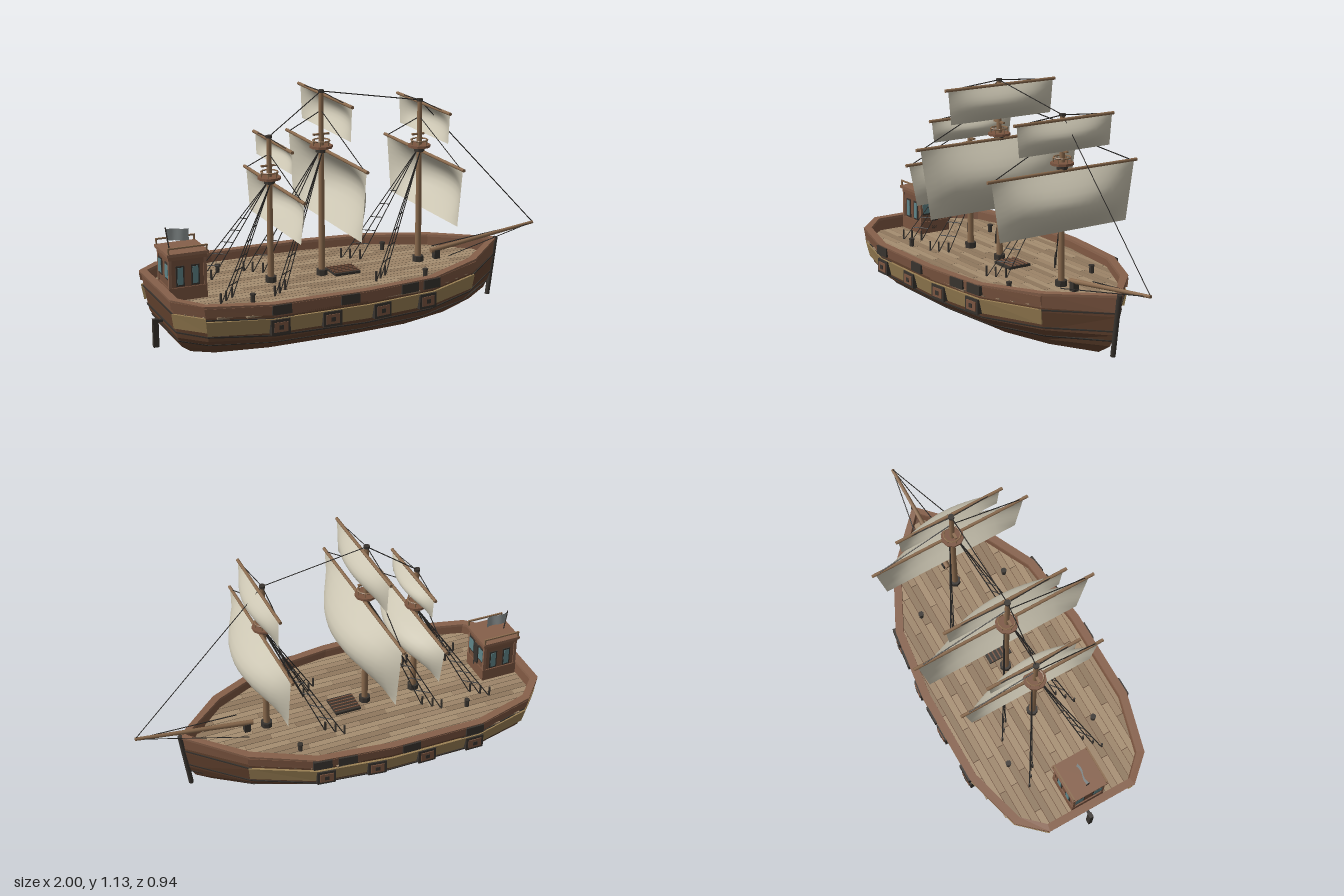
import * as THREE from 'three';

const C = { hull: 0x64432f, trim: 0x7b5540, rail: 0x86604a, tan: 0x9a8054, dark: 0x38332e, plank: [0x9c8468, 0x8f785e, 0xa58d70],
  wood: 0x8a6a4d, sail: 0xc9c3b0, rope: 0x2c2a28, glass: 0x5f8488, cabin: 0x74503c };
const mats = {};
const mat = (c, double = false, flat = true) => mats[`${c}${double}${flat}`] ??= new THREE.MeshStandardMaterial({
  color: c, flatShading: flat, side: double ? THREE.DoubleSide : THREE.FrontSide });
const V = (x, y, z) => new THREE.Vector3(x, y, z);

function add(parent, name, geo, color, pos = [0, 0, 0], double = false, flat = true) {
  const m = new THREE.Mesh(geo, mat(color, double, flat));
  m.name = name;
  m.position.set(...pos);
  parent.add(m);
  return m;
}
const box = (p, name, size, pos, color) => add(p, name, new THREE.BoxGeometry(...size), color, pos);
const disc = (p, name, r, h, pos, color, sides = 10) => add(p, name, new THREE.CylinderGeometry(r, r, h, sides), color, pos);

// Round bar between two points
function rod(p, name, a, b, r, color, r2 = r, sides = 8) {
  const d = b.clone().sub(a);
  const m = add(p, name, new THREE.CylinderGeometry(r2, r, d.length(), sides), color, [0, 0, 0], false, false);
  m.position.copy(a).addScaledVector(d, 0.5);
  m.quaternion.setFromUnitVectors(V(0, 1, 0), d.normalize());
  return m;
}
const rope = (p, name, a, b) => rod(p, name, a, b, 0.0025, C.rope, 0.0025, 4);

// Skin over closed cross-sections, capped at both ends
function loft(sections) {
  const n = sections[0].length, last = (sections.length - 1) * n, idx = [];
  for (let i = 0; i < sections.length - 1; i++)
    for (let j = 0; j < n; j++) {
      const a = i * n + j, b = i * n + (j + 1) % n;
      idx.push(a, b, b + n, a, b + n, a + n);
    }
  for (let j = 1; j < n - 1; j++) idx.push(0, j + 1, j, last, last + j, last + j + 1);
  const g = new THREE.BufferGeometry().setFromPoints(sections.flat());
  g.setIndex(idx);
  g.computeVertexNormals();
  return g;
}

// Deck outline [x, half width, sheer height], bow to stern, then mirrored round
const half = [[0.53, 0.24, 0.287], [0.24, 0.385, 0.28], [-0.12, 0.43, 0.28], [-0.58, 0.43, 0.28], [-0.87, 0.35, 0.285], [-0.98, 0.23, 0.295]];
const outline = [[0.78, 0, 0.3], ...half.map(([x, z, y]) => [x, -z, y]), ...[...half].reverse()];
const N = outline.length;
// Hull levels: height, stern x, bow x, width factor
const levels = [[0, -0.86, 0.64, 0.51], [0.05, -0.92, 0.72, 0.73], [0.11, -0.95, 0.755, 0.91], [0.2, -0.965, 0.772, 0.97], [0.3, -0.98, 0.78, 1]];
const DECK = 0.23;

function raw(k, y) {
  const [x, z] = outline[(k + N) % N];
  let i = 0;
  while (i < levels.length - 2 && y > levels[i + 1][0]) i++;
  const [A, B] = [levels[i], levels[i + 1]], t = (y - A[0]) / (B[0] - A[0]);
  const [x0, x1, s] = [1, 2, 3].map(q => A[q] + (B[q] - A[q]) * t);
  return V(x0 + (x + 0.98) / 1.76 * (x1 - x0), y, z * s);
}
// Point on the hull, pushed outward by off
function hullPoint(k, y, off = 0) {
  const d = raw(k + 1, y).sub(raw(k - 1, y)).normalize();
  return raw(k, y).add(V(-d.z, 0, d.x).multiplyScalar(off));
}
// Strip along the hull, from outline corner k0 to k1
function strip(p, name, k0, k1, lo, hi, out, inn, color) {
  const secs = [];
  for (let k = k0; k <= k1; k++) {
    const i = k % N, a = lo(i), b = hi(i);
    secs.push([hullPoint(i, b, out), hullPoint(i, a, out), hullPoint(i, a, inn), hullPoint(i, b, inn)]);
  }
  return add(p, name, loft(secs), color);
}
const sheer = i => outline[i][2];

function buildHull(g) {
  const ys = [0, 0.05, 0.11, 0.2, DECK];
  add(g, 'hull', loft(ys.map(y => outline.map((_, k) => hullPoint(k, y)))), C.hull);
  strip(g, 'bulwark', 0, N, () => DECK - 0.01, sheer, 0, -0.025, C.trim);
  strip(g, 'capRail', 0, N, i => sheer(i) - 0.008, i => sheer(i) + 0.004, 0.008, -0.03, C.rail);
  // Thin dark wales rising towards both ends
  for (const y of [0.075, 0.125, 0.212]) {
    const f = i => y + 0.02 * (outline[i][0] / 0.95) ** 2 - 0.012;
    strip(g, 'wale', 0, N, f, i => f(i) + 0.007, 0.005, -0.01, C.dark);
  }
  // Painted side panels, stepped up at the stern quarter
  for (const [k0, k1, up] of [[7, 8, 0.018], [8, 12, 0], [5, 6, 0.018], [1, 5, 0]]) {
    strip(g, 'sidePanel', k0, k1, () => 0.142 + up, () => 0.213 + up, 0.012, -0.02, C.tan);
    strip(g, 'upperStrake', k0, k1, () => 0.233 + up, () => 0.277 + up * 0.6, 0.01, -0.01, C.trim);
  }
  // Gun ports follow the curve of the side
  const onSide = (x, y, s, build) => {
    let k = 7;
    while (k < 11 && hullPoint(k + 1, y).x < x) k++;
    const a = hullPoint(k, y), b = hullPoint(k + 1, y);
    const h = new THREE.Group();
    h.name = 'gunPort';
    h.position.set(x, y, s * (a.z + (b.z - a.z) * (x - a.x) / (b.x - a.x)));
    h.rotation.y = -s * Math.atan2(b.z - a.z, b.x - a.x) + (s < 0 ? Math.PI : 0);
    build(h);
    g.add(h);
  };
  for (const s of [1, -1]) {
    for (const x of [-0.545, -0.295, -0.045, 0.2]) onSide(x, 0.175, s, h => {
      box(h, 'portFrame', [0.09, 0.07, 0.04], [0, 0, 0.006], C.dark);
      box(h, 'portLid', [0.065, 0.045, 0.04], [0, 0, 0.01], C.trim);
      box(h, 'portHole', [0.022, 0.02, 0.04], [0, 0, 0.013], C.dark);
    });
    for (const x of [-0.54, -0.21, 0.1, 0.22]) onSide(x, 0.257, s, h =>
      box(h, 'upperPort', [0.09, 0.044, 0.03], [0, 0, 0.004], C.dark));
  }
  rod(g, 'stem', V(0.742, 0.01, 0), V(0.782, 0.305, 0), 0.012, C.dark);
  box(g, 'rudder', [0.026, 0.135, 0.02], [-0.987, 0.068, 0], C.dark);
  box(g, 'rudderArm', [0.05, 0.012, 0.014], [-0.967, 0.125, 0], C.dark);
}

function buildDeck(g) {
  // Staggered planks trimmed to the outline
  const rows = 24, w = 0.82 / rows;
  for (let r = 0; r < rows; r++) {
    const z = -0.41 + (r + 0.5) * w, az = Math.abs(z);
    const side = [[0.76, 0], ...half];
    const cut = (a, b) => a[0] + (b[0] - a[0]) * (az - a[1]) / (b[1] - a[1]);
    let x1 = 0.76, x0 = -0.96;
    for (let i = 0; i < 3; i++) if (az >= side[i][1] && az < side[i + 1][1]) x1 = cut(side[i], side[i + 1]) - 0.02;
    for (let i = 4; i < 6; i++) if (az < side[i][1] && az >= side[i + 1][1]) x0 = cut(side[i], side[i + 1]) + 0.02;
    for (let x = x0, n = 0; x < x1 - 0.001; n++) {
      const end = Math.min(x1, x + (n ? 0.36 : 0.1 + 0.07 * ((r * 3) % 5)));
      box(g, 'deckPlank', [end - x - 0.003, 0.008, w - 0.003], [(x + end) / 2, DECK + 0.002, z], C.plank[(r * 2 + n * 5 + (r >> 2)) % 3]);
      x = end;
    }
  }
  // Grated hatch and bollards
  box(g, 'hatch', [0.13, 0.016, 0.12], [-0.05, DECK + 0.01, 0], C.dark);
  for (let i = -2; i <= 2; i++) box(g, 'hatchBar', [0.13, 0.006, 0.006], [-0.05, DECK + 0.02, i * 0.022], C.trim);
  for (const x of [-0.6, 0.27]) for (const s of [1, -1]) {
    disc(g, 'bollard', 0.011, 0.04, [x, DECK + 0.02, s * 0.235], C.dark, 8);
    disc(g, 'bollardCap', 0.014, 0.008, [x, DECK + 0.042, s * 0.235], C.dark, 8);
  }
}

function buildCabin(g) {
  const cx = -0.852;
  box(g, 'cabinWalls', [0.17, 0.225, 0.158], [cx, 0.333, 0], C.cabin);
  box(g, 'cabinSkirt', [0.182, 0.07, 0.17], [cx, 0.262, 0], C.trim);
  box(g, 'cabinRoof', [0.196, 0.014, 0.19], [cx, 0.453, 0], C.rail);
  box(g, 'cabinEaves', [0.182, 0.02, 0.17], [cx, 0.437, 0], C.trim);
  for (const sx of [1, -1]) for (const s of [1, -1]) {
    box(g, 'cornerPost', [0.014, 0.2, 0.014], [cx + sx * 0.083, 0.34, s * 0.077], C.rail);
    box(g, 'roofPost', [0.007, 0.03, 0.007], [cx + sx * 0.09, 0.472, s * 0.088], C.wood);
    box(g, 'endFrame', [0.006, 0.08, 0.056], [cx + sx * 0.086, 0.372, s * 0.05], C.dark);
    box(g, 'endWindow', [0.008, 0.062, 0.044], [cx + sx * 0.087, 0.372, s * 0.05], C.glass);
    box(g, 'sideFrame', [0.04, 0.096, 0.006], [cx + sx * 0.036, 0.35, s * 0.08], C.dark);
    box(g, 'sideWindow', [0.026, 0.08, 0.008], [cx + sx * 0.036, 0.35, s * 0.081], C.glass);
  }
  box(g, 'door', [0.008, 0.15, 0.036], [cx + 0.087, 0.33, 0], C.dark);
  for (const s of [1, -1]) box(g, 'roofRail', [0.19, 0.007, 0.008], [cx, 0.485, s * 0.088], C.wood);
  // Small flag on its staff
  rod(g, 'flagStaff', V(-0.91, 0.46, 0), V(-0.925, 0.56, 0), 0.003, C.dark);
  const flag = new THREE.PlaneGeometry(0.105, 0.055, 8, 1), p = flag.attributes.position;
  for (let i = 0; i < p.count; i++) {
    const x = p.getX(i);
    p.setY(i, p.getY(i) - x * 0.08);
    p.setZ(i, 0.006 * Math.sin(x * 60));
  }
  flag.computeVertexNormals();
  add(g, 'flag', flag, 0x8f9696, [-0.868, 0.521, 0], true, false);
}

// Yard, its lifts and a square sail bellied forward
function buildSail(g, x, yard, span, foot, depth, lift) {
  const W = span * 0.955, w = span * 0.85 + (yard - foot < 0.2 ? span * 0.06 : 0), h = yard - foot;
  const geo = new THREE.PlaneGeometry(2, 1, 14, 10), p = geo.attributes.position;
  for (let i = 0; i < p.count; i++) {
    const u = p.getX(i), v = 0.5 - p.getY(i);
    p.setXYZ(i, x + 0.022 + depth * Math.sin(Math.PI * v) * (1 - u * u), yard - 0.006 - v * (h - 0.006), -u * (W + (w - W) * v));
  }
  geo.computeVertexNormals();
  add(g, 'sail', geo, C.sail, [0, 0, 0], true, false);
  rod(g, 'yard', V(x + 0.018, yard, -span), V(x + 0.018, yard, span), 0.008, C.wood);
  for (const s of [1, -1]) rope(g, 'yardLift', V(x + 0.018, yard, s * span * 0.93), V(x, lift, 0));
}

function buildMast(g, { x, top, nest, lower, upper }) {
  const m = new THREE.Group();
  m.name = 'mast';
  g.add(m);
  rod(m, 'mastPole', V(x, DECK, 0), V(x, top, 0), 0.016, C.wood, 0.011, 10);
  disc(m, 'mastCollar', 0.028, 0.03, [x, DECK + 0.018, 0], C.dark, 8);
  disc(m, 'mastCap', 0.015, 0.012, [x, top, 0], C.dark, 8);
  // Lookout platform with rail
  disc(m, 'lookoutFloor', 0.054, 0.012, [x, nest, 0], C.trim);
  disc(m, 'lookoutSupport', 0.026, 0.022, [x, nest - 0.016, 0], C.dark);
  const ring = add(m, 'lookoutRail', new THREE.TorusGeometry(0.04, 0.004, 5, 12), C.wood, [x, nest + 0.028, 0]);
  ring.rotation.x = Math.PI / 2;
  for (let i = 0; i < 6; i++) {
    const a = i * Math.PI / 3;
    rod(m, 'lookoutPost', V(x + 0.04 * Math.cos(a), nest, 0.04 * Math.sin(a)), V(x + 0.04 * Math.cos(a), nest + 0.028, 0.04 * Math.sin(a)), 0.003, C.wood);
  }
  box(m, 'crossTree', [0.08, 0.008, 0.012], [x, nest + 0.058, 0], C.wood);
  buildSail(m, x, ...lower);
  buildSail(m, x, ...upper);
  // Shrouds with rungs, made fast to deck pins
  for (const s of [1, -1]) {
    const head = V(x, nest - 0.02, s * 0.015);
    const feet = [[-0.32, 0.2], [-0.285, 0.172], [-0.245, 0.14]].map(([dx, z]) => V(x + dx, DECK, s * z));
    for (const f of feet) {
      rope(m, 'shroud', f, head);
      disc(m, 'deckPin', 0.005, 0.055, [f.x, DECK + 0.027, f.z], C.dark, 6);
    }
    for (let t = 0.15; t < 0.75; t += 0.12) rope(m, 'rung', feet[0].clone().lerp(head, t), feet[2].clone().lerp(head, t));
  }
}

export function createModel() {
  const g = new THREE.Group();
  g.name = 'sailingShip';
  buildHull(g);
  buildDeck(g);
  buildCabin(g);
  // Sails: yard height, half span, foot height, belly, lift height
  const masts = [
    { x: -0.42, top: 0.93, nest: 0.737, lower: [0.705, 0.375, 0.5, 0.105, 0.85], upper: [0.905, 0.24, 0.8, 0.05, 0.925] },
    { x: -0.16, top: 1.12, nest: 0.86, lower: [0.84, 0.47, 0.5, 0.135, 1.03], upper: [1.1, 0.31, 0.937, 0.06, 1.12] },
    { x: 0.35, top: 1.035, nest: 0.813, lower: [0.782, 0.415, 0.5, 0.118, 0.955], upper: [1.017, 0.275, 0.872, 0.057, 1.035] }];
  masts.forEach(m => buildMast(g, m));
  // Bowsprit and stays
  const tip = V(0.995, 0.355, 0);
  rod(g, 'bowsprit', V(0.42, 0.278, 0), tip, 0.013, C.wood, 0.008);
  box(g, 'bowspritBlock', [0.03, 0.05, 0.03], [0.45, DECK + 0.025, 0], C.dark);
  const tops = [...masts.map(m => V(m.x, m.top, 0)), tip];
  for (let i = 0; i < 3; i++) rope(g, 'stay', tops[i], tops[i + 1]);
  for (const s of [1, -1]) rope(g, 'bowGuy', tip, V(0.47, 0.27, s * 0.09));
  return g;
}
